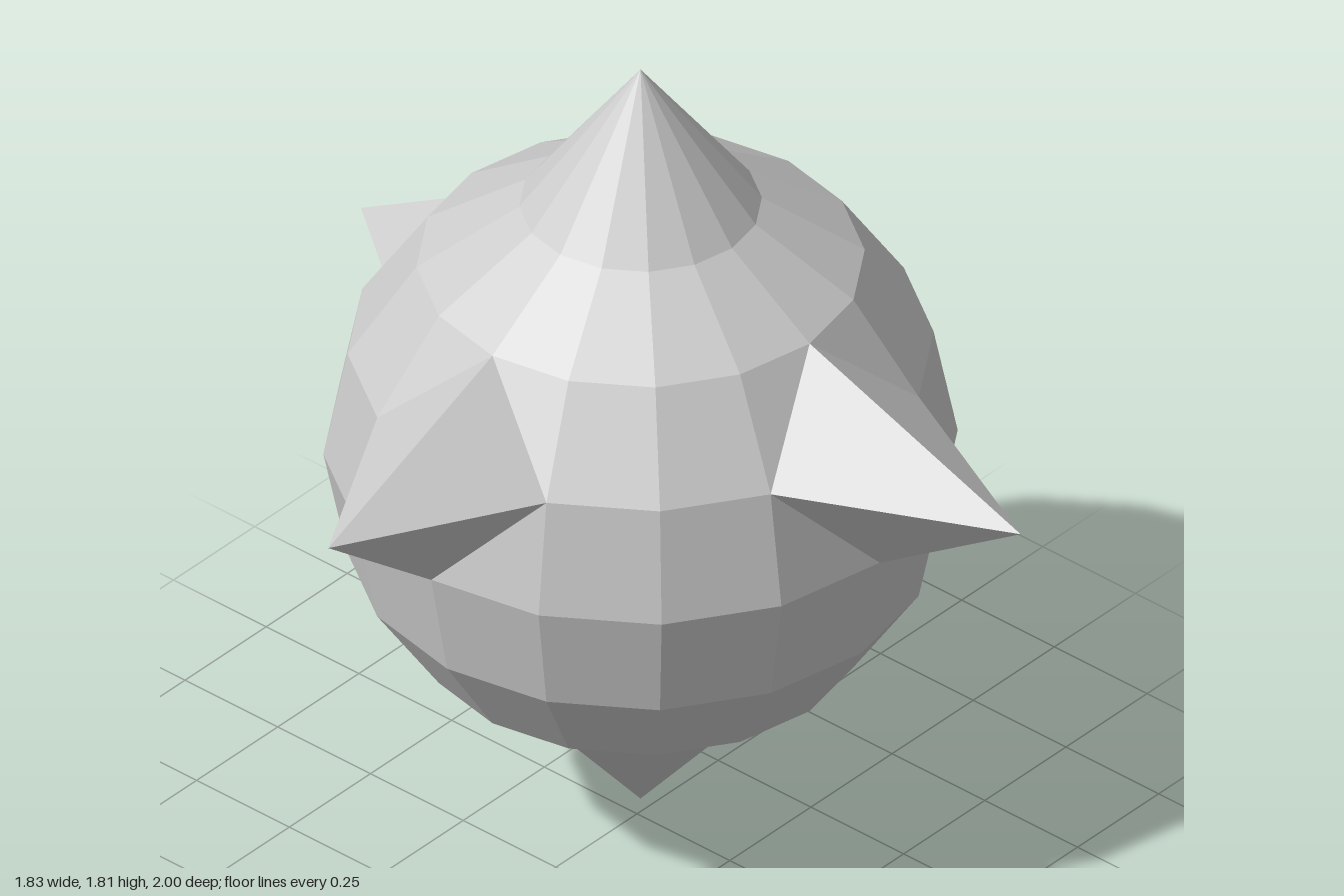
import * as THREE from 'three';

const SIDES = 16, RINGS = 8, R = 0.645;
const CENTRE = new THREE.Vector3(0.045, 0.885, -0.03);
const TOP = new THREE.Vector3(0.045, 1.81, -0.03);
const BOTTOM = new THREE.Vector3(0.045, 0, -0.03);

// Spikes grow from one grid point of the ball: ring, column and tip position
const SPIKES = [
  { name: 'frontSpike', ring: 3, col: 0, tip: [0.045, 1.132, 0.995] },
  { name: 'rightSpike', ring: 3, col: 12, tip: [-0.917, 1.132, -0.03] },
  { name: 'leftSpike', ring: 5, col: 4, tip: [0.915, 0.638, -0.03] },
  { name: 'backSpike', ring: 4, col: 7, tip: [0.292, 0.885, -1] },
];

// Grid point on the ball; column 0 faces the front
function point(ring, col) {
  return new THREE.Vector3()
    .setFromSphericalCoords(R, (ring / RINGS) * Math.PI, (col / SIDES) * Math.PI * 2)
    .add(CENTRE);
}

const isSpike = ([ring, col]) =>
  SPIKES.some((s) => s.ring === ring && s.col === col % SIDES);

function facetedMesh(name, points) {
  const geometry = new THREE.BufferGeometry().setFromPoints(points);
  geometry.computeVertexNormals();
  const material = new THREE.MeshStandardMaterial({ color: 0xcccccc, flatShading: true });
  const mesh = new THREE.Mesh(geometry, material);
  mesh.name = name;
  return mesh;
}

// Open pyramid from a counter-clockwise base loop to a tip
function pyramid(name, base, tip) {
  return facetedMesh(name, base.flatMap((p, k) => [p, base[(k + 1) % base.length], tip]));
}

// Faceted ball, left open where the spikes and the two points attach
function ball() {
  const points = [];
  for (let i = 1; i < RINGS - 1; i++) {
    for (let j = 0; j < SIDES; j++) {
      const q = [[i, j], [i + 1, j], [i + 1, j + 1], [i, j + 1]];
      const k = q.findIndex(isSpike);
      // Cut each quad so that a spike takes only its own corner
      const s = k < 0 ? 0 : k;
      const [a, b, c, d] = [0, 1, 2, 3].map((n) => point(...q[(s + n) % 4]));
      points.push(b, c, d);
      if (k < 0) points.push(a, b, d);
    }
  }
  return facetedMesh('ball', points);
}

export function createModel() {
  const group = new THREE.Group();
  group.name = 'spikedBall';
  group.add(ball());

  // Tall points at both poles
  const columns = Array.from({ length: SIDES }, (_, j) => j);
  group.add(pyramid('topPoint', columns.map((j) => point(1, j)), TOP));
  group.add(pyramid('bottomPoint', columns.map((j) => point(RINGS - 1, -j)), BOTTOM));

  // Four-sided spikes around the ball
  for (const { name, ring, col, tip } of SPIKES) {
    const base = [point(ring, col - 1), point(ring + 1, col), point(ring, col + 1), point(ring - 1, col)];
    group.add(pyramid(name, base, new THREE.Vector3(...tip)));
  }
  return group;
}
